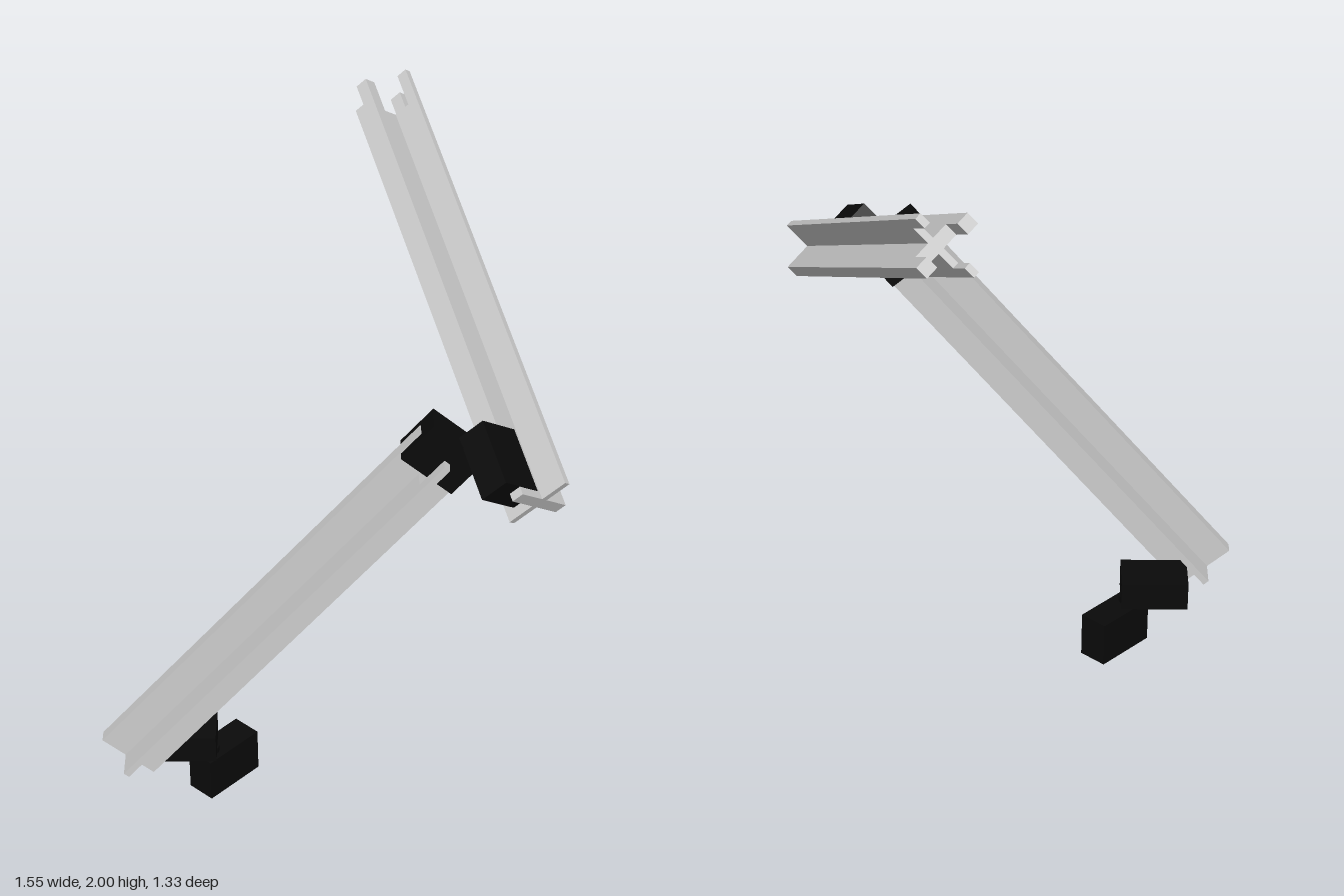
import * as THREE from 'three';

const V = (x, y, z) => new THREE.Vector3(x, y, z);

export function createModel() {
  const model = new THREE.Group();
  model.name = 'jointedArm';
  const grey = new THREE.MeshStandardMaterial({ color: 0xcccccc });
  grey.name = 'light grey';
  const black = new THREE.MeshStandardMaterial({ color: 0x0a0a0a });
  black.name = 'black';

  // Orientation with local z along dir and local x close to side
  const orient = (object, dir, side, position) => {
    const z = dir.clone().normalize();
    const x = side.clone().addScaledVector(z, -side.dot(z)).normalize();
    const y = z.clone().cross(x);
    object.quaternion.setFromRotationMatrix(new THREE.Matrix4().makeBasis(x, y, z));
    object.position.copy(position);
    model.add(object);
    return object;
  };

  const box = (name, material, w, h, d) => {
    const mesh = new THREE.Mesh(new THREE.BoxGeometry(w, h, d), material);
    mesh.name = name;
    return mesh;
  };

  // Cross-shaped beam: thin wide plate, thicker rib, motor notch in the far end
  const LENGTH = 1.5, NOTCH = 0.11;
  const PLATE = { half: 0.11, t: 0.01, cut: 0.075 };
  const RIB = { half: 0.1, t: 0.02, cut: 0.06 };
  const makeBeam = (name) => {
    const beam = new THREE.Group();
    beam.name = name;
    const a = PLATE.half, b = PLATE.t, c = RIB.half, e = RIB.t;
    const cross = new THREE.Shape([
      [a, -b], [a, b], [e, b], [e, c], [-e, c], [-e, b],
      [-a, b], [-a, -b], [-e, -b], [-e, -c], [e, -c], [e, -b],
    ].map(([x, y]) => new THREE.Vector2(x, y)));
    const core = new THREE.Mesh(
      new THREE.ExtrudeGeometry(cross, { depth: LENGTH - NOTCH, bevelEnabled: false }), grey);
    core.name = 'beamCore';
    beam.add(core);
    for (const s of [-1, 1]) {
      const p = box('plateProng', grey, PLATE.half - PLATE.cut, PLATE.t * 2, NOTCH);
      p.position.set(s * (PLATE.half + PLATE.cut) / 2, 0, LENGTH - NOTCH / 2);
      const r = box('ribProng', grey, RIB.t * 2, RIB.half - RIB.cut, NOTCH);
      r.position.set(0, s * (RIB.half + RIB.cut) / 2, LENGTH - NOTCH / 2);
      beam.add(p, r);
    }
    return beam;
  };

  // Directions of the two beams and of their plates
  const d1 = V(0.44, 0.763, 0.474).normalize();
  const n1 = V(-0.73, 0, 0.68);
  const d2 = V(0.425, 0.431, -0.796).normalize();
  const t2 = V(0.374, 0.7, 0.607);
  const low1 = V(-0.693, 0.22, -0.404);
  const top1 = low1.clone().addScaledVector(d1, LENGTH);

  orient(makeBeam('lowerBeam'), d1, n1, low1);
  orient(makeBeam('upperBeam'), d2, t2, V(0.042, 1.268, 0.597));

  // Base motor and its turning shaft
  const base = box('baseMotor', black, 0.21, 0.145, 0.095);
  base.position.set(-0.395, 0.0725, -0.29);
  const shaft = new THREE.Mesh(new THREE.CylinderGeometry(0.03, 0.03, 0.03, 16), black);
  shaft.name = 'baseShaft';
  shaft.position.set(-0.455, 0.15, -0.29);
  model.add(base, shaft);

  // Shoulder motor, turned with the lower beam
  orient(box('shoulderMotor', black, 0.145, 0.093, 0.21), V(0.68, 0, 0.73), n1, V(-0.5085, 0.205, -0.351));

  // Wrist motor seated in the lower beam's notch
  orient(box('twistMotor', black, 0.095, 0.192, 0.145), d1, n1, top1.clone().addScaledVector(d1, -0.018));

  // Elbow motor carrying the upper beam
  orient(box('elbowMotor', black, 0.095, 0.145, 0.21), d2, t2, V(0.012, 1.357, 0.465));

  return model;
}
